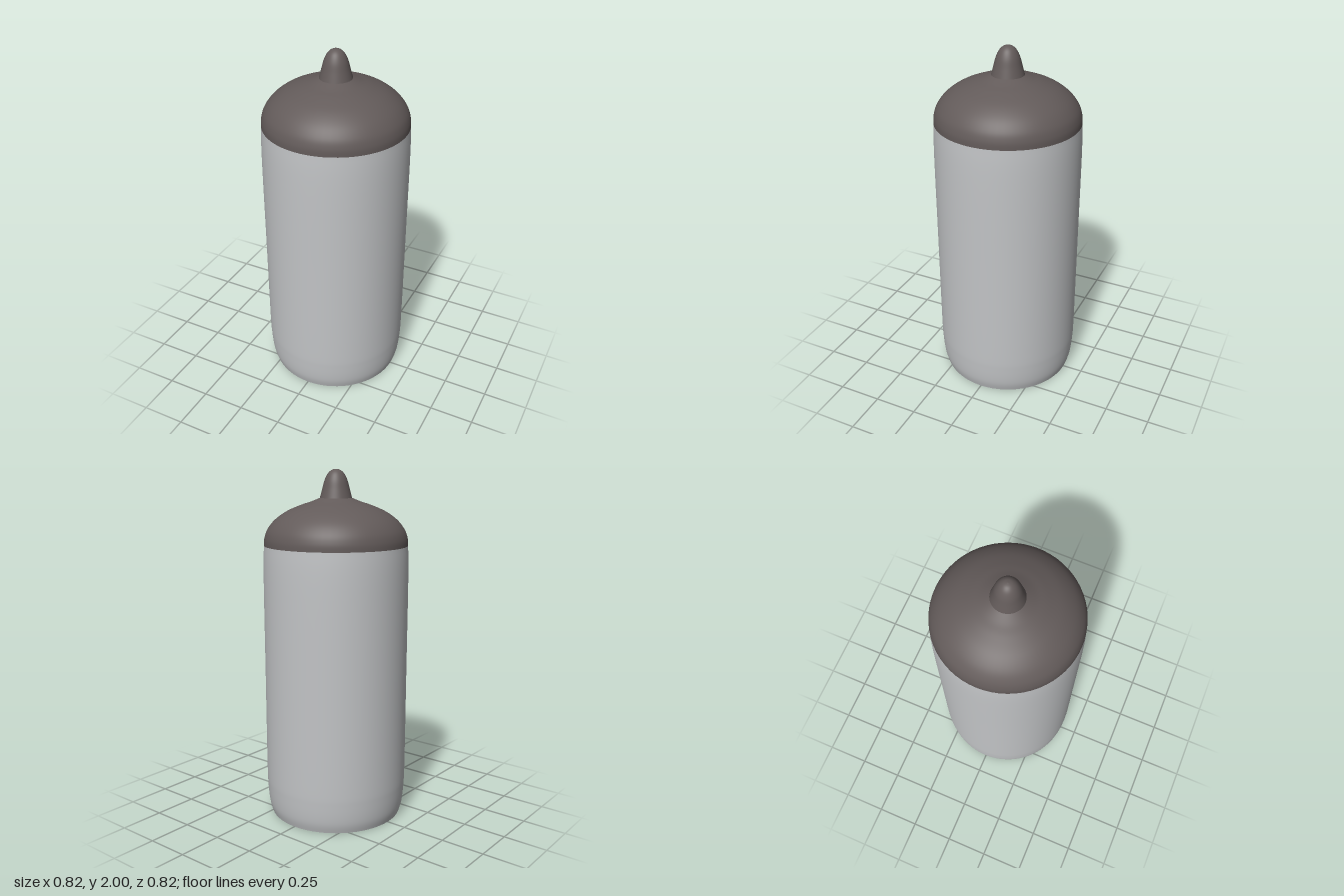
import * as THREE from 'three';

const SEGMENTS = 64;

// Smooth surface of revolution through a few [radius, height] points
function turned(name, points, material, steps) {
  const curve = new THREE.SplineCurve(points.map(([r, y]) => new THREE.Vector2(r, y)));
  const profile = curve.getPoints(steps);
  profile.forEach((p) => { p.x = Math.max(p.x, 0); });
  const mesh = new THREE.Mesh(new THREE.LatheGeometry(profile, SEGMENTS), material);
  mesh.name = name;
  return mesh;
}

export function createModel() {
  const bodyGrey = new THREE.MeshStandardMaterial({ color: 0xc2c4c6, side: THREE.DoubleSide });
  bodyGrey.name = 'light grey';
  const capBrown = new THREE.MeshStandardMaterial({ color: 0x635b5a, side: THREE.DoubleSide });
  capBrown.name = 'dark brown grey';

  const group = new THREE.Group();
  group.name = 'cappedBottle';

  // Hollow body, open below, drawn in at the foot
  group.add(turned('body', [
    [0.383, 0], [0.399, 0.06], [0.408, 0.16], [0.411, 0.3],
    [0.411, 0.85], [0.411, 1.4], [0.406, 1.58],
  ], bodyGrey, 36));

  // Rounded shoulder sweeping up to the nozzle
  group.add(turned('shoulder', [
    [0.406, 1.58], [0.403, 1.62], [0.386, 1.668], [0.345, 1.72],
    [0.28, 1.767], [0.2, 1.802], [0.14, 1.822], [0.09, 1.842],
  ], capBrown, 36));

  // Nozzle with a rounded tip
  group.add(turned('nozzle', [
    [0.09, 1.842], [0.077, 1.89], [0.064, 1.938],
    [0.046, 1.974], [0.024, 1.994], [0, 2],
  ], capBrown, 24));

  return group;
}
